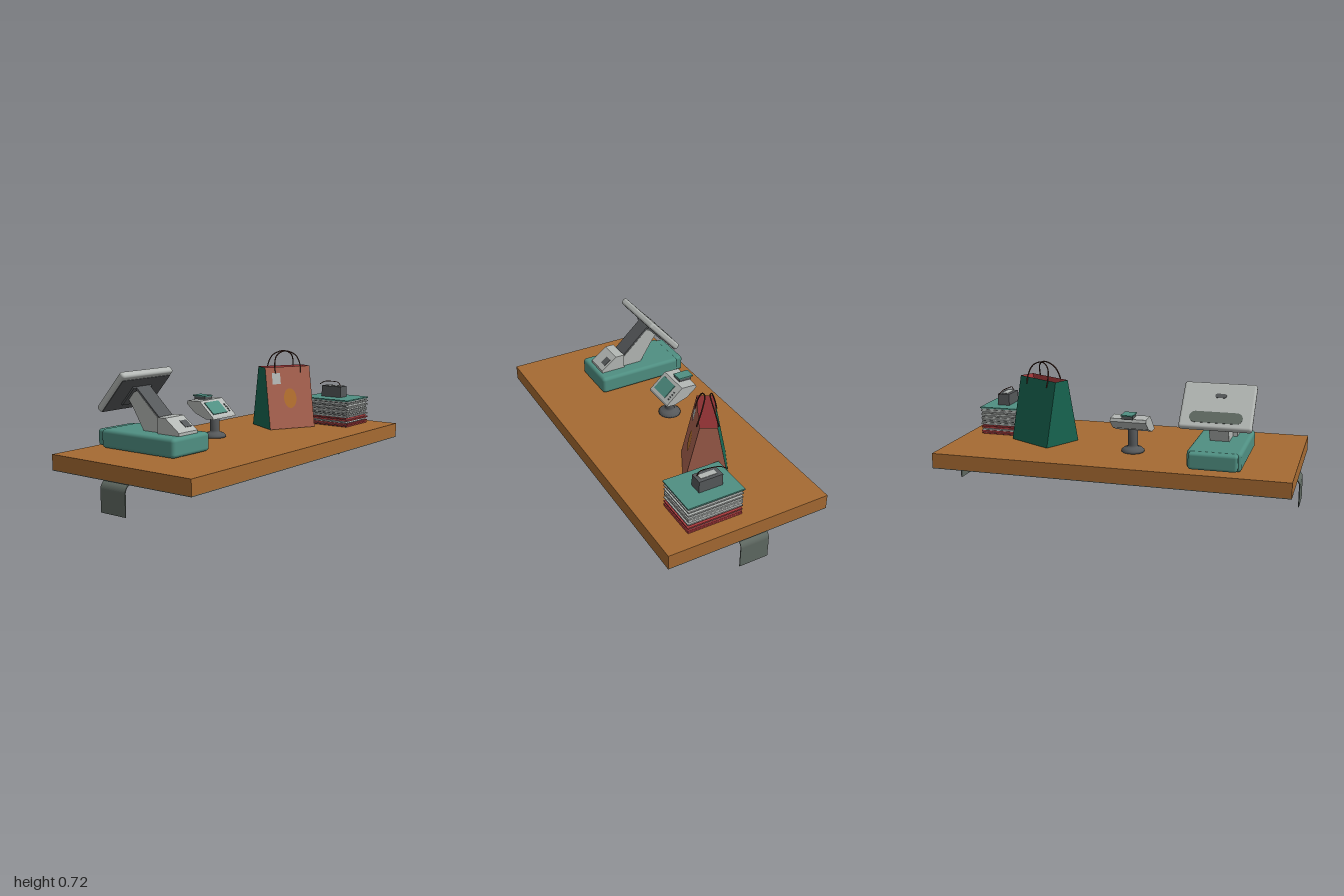
import * as THREE from 'three';
import { RoundedBoxGeometry } from 'three/addons/geometries/RoundedBoxGeometry.js';

const mat = (name, color, side = THREE.FrontSide) => {
  const m = new THREE.MeshStandardMaterial({ color, side });
  m.name = name;
  return m;
};

export function createModel() {
  const wood = mat('wood', 0xa56a32);
  const teal = mat('teal', 0x4f8f82);
  const light = mat('lightGrey', 0xb4b8b5);
  const dark = mat('darkGrey', 0x55585a);
  const steel = mat('steel', 0x5f6962);
  const pink = mat('bagClay', 0xa8624f);
  const green = mat('bagGreen', 0x176450);
  const red = mat('red', 0xb03e40);
  const orange = mat('orange', 0xb5702f);
  const brown = mat('handleBrown', 0x4a2a22);

  const root = new THREE.Group();
  const group = (name, parent = root) => {
    const g = new THREE.Group();
    g.name = name;
    parent.add(g);
    return g;
  };
  const add = (parent, name, geo, m, x = 0, y = 0, z = 0) => {
    const mesh = new THREE.Mesh(geo, m);
    mesh.name = name;
    mesh.position.set(x, y, z);
    parent.add(mesh);
    return mesh;
  };
  // Box given by its limits on each axis; r rounds the edges
  const block = (parent, name, m, [x0, x1], [y0, y1], [z0, z1], r = 0) => {
    const s = [x1 - x0, y1 - y0, z1 - z0];
    const geo = r ? new RoundedBoxGeometry(...s, 3, r) : new THREE.BoxGeometry(...s);
    return add(parent, name, geo, m, (x0 + x1) / 2, (y0 + y1) / 2, (z0 + z1) / 2);
  };
  // Side profile of [z, y] points swept from x0 to x1
  const sweep = (parent, name, m, pts, x0, x1) => {
    const shape = new THREE.Shape(pts.map(p => new THREE.Vector2(...p)));
    const geo = new THREE.ExtrudeGeometry(shape, { depth: x1 - x0, bevelEnabled: false });
    geo.rotateY(-Math.PI / 2).translate(x1, 0, 0);
    return add(parent, name, geo, m);
  };
  const tube = (parent, name, m, pts, r) => {
    const curve = new THREE.CatmullRomCurve3(pts.map(p => new THREE.Vector3(...p)));
    return add(parent, name, new THREE.TubeGeometry(curve, 32, r, 6), m);
  };

  // Counter top and its underside
  block(root, 'counterTop', wood, [-0.99, 0.99], [0.168, 0.25], [-0.475, 0.475]);
  block(root, 'counterUnderside', steel, [-0.99, 0.99], [0.164, 0.168], [-0.475, 0.475]);

  // Bent metal brackets at both ends
  for (const s of [-1, 1]) {
    const b = new THREE.Shape();
    b.moveTo(0.93, 0.164);
    b.lineTo(0.955, 0.164);
    b.absarc(0.955, 0.119, 0.045, Math.PI / 2, 0, true);
    b.lineTo(1, 0);
    b.lineTo(0.995, 0);
    b.lineTo(0.995, 0.119);
    b.absarc(0.955, 0.119, 0.04, 0, Math.PI / 2, false);
    b.lineTo(0.93, 0.159);
    const geo = new THREE.ExtrudeGeometry(b, { depth: 0.17, bevelEnabled: false });
    if (s < 0) geo.rotateY(Math.PI).translate(0, 0, 0.17);
    add(root, 'endBracket', geo, steel, 0, 0, -0.11);
  }

  // Till: drawer, arm and screen
  const till = group('till');
  block(till, 'drawerBody', teal, [-0.72, -0.43], [0.253, 0.356], [-0.39, 0.128], 0.02);
  block(till, 'drawerFront', teal, [-0.705, -0.445], [0.262, 0.352], [-0.43, -0.37], 0.015);
  sweep(till, 'armFoot', light,
    [[0.1, 0.354], [0.1, 0.372], [0.005, 0.442], [-0.05, 0.442], [-0.05, 0.354]], -0.645, -0.5);
  sweep(till, 'arm', light,
    [[-0.01, 0.354], [-0.01, 0.38], [-0.215, 0.565], [-0.29, 0.53], [-0.25, 0.48], [-0.17, 0.354]], -0.62, -0.515);
  sweep(till, 'armCover', dark,
    [[-0.05, 0.421], [-0.046, 0.427], [-0.216, 0.582], [-0.222, 0.57]], -0.62, -0.515);
  const slot = add(till, 'receiptSlot', new THREE.BoxGeometry(0.05, 0.003, 0.05), dark, -0.54, 0.407, 0.055);
  slot.rotation.x = 0.635;

  const screen = group('screen', till);
  screen.position.set(-0.572, 0.567, -0.27);
  screen.rotation.x = 0.73;
  add(screen, 'screenShell', new RoundedBoxGeometry(0.385, 0.275, 0.04, 3, 0.014), light);
  add(screen, 'screenPanel', new THREE.BoxGeometry(0.365, 0.235, 0.006), dark, 0, -0.012, 0.019);
  add(screen, 'mountPlate', new THREE.BoxGeometry(0.14, 0.13, 0.012), dark, 0, -0.02, 0.026);
  const pill = (w, h) => {
    const r = h / 2, a = w / 2 - r, s = new THREE.Shape();
    s.absarc(a, 0, r, -Math.PI / 2, Math.PI / 2, false);
    s.absarc(-a, 0, r, Math.PI / 2, Math.PI * 1.5, false);
    return new THREE.ExtrudeGeometry(s, { depth: 0.003, bevelEnabled: false });
  };
  add(screen, 'backVent', pill(0.28, 0.065), steel, 0, -0.075, -0.022);
  add(screen, 'backPort', pill(0.06, 0.025), dark, -0.01, 0.055, -0.022);

  // Card terminal on a round stand
  const term = group('cardTerminal');
  const stand = [[0, 0], [0.064, 0], [0.064, 0.012], [0.05, 0.024], [0.03, 0.028], [0.027, 0.04], [0.027, 0.15], [0, 0.15]];
  const standMesh = add(term, 'terminalStand',
    new THREE.LatheGeometry(stand.map(p => new THREE.Vector2(...p)), 28), dark, -0.073, 0.25, -0.13);
  standMesh.geometry.computeVertexNormals();
  sweep(term, 'terminalHead', light,
    [[-0.055, 0.368], [-0.06, 0.38], [-0.155, 0.465], [-0.245, 0.462], [-0.25, 0.445], [-0.19, 0.395], [-0.11, 0.366]],
    -0.177, 0.026);
  const display = group('terminalDisplay', term);
  display.position.set(-0.075, 0.4235, -0.1065);
  display.rotation.x = -0.84;
  add(display, 'displayPanel', new THREE.BoxGeometry(0.125, 0.09, 0.006), teal, -0.017, 0, 0);
  for (let i = 0; i < 4; i++)
    add(display, 'terminalKey', new THREE.BoxGeometry(0.01, 0.008, 0.006), dark, 0.075, -0.035 + i * 0.016, 0);
  block(term, 'cardReader', dark, [-0.103, -0.042], [0.46, 0.479], [-0.255, -0.175]);
  block(term, 'card', teal, [-0.106, -0.039], [0.479, 0.486], [-0.265, -0.173]);

  // Tapered paper bag: coloured outside, red inside
  const bag = group('shoppingBag');
  bag.position.set(0.485, 0.253, -0.035);
  bag.rotation.y = -0.49;
  const H = 0.368, B = 0.122, T = 0.046, W = 0.151;
  const ring = [[-1, 1], [1, 1], [1, -1], [-1, -1]];
  const low = ring.map(([x, z]) => [x * W, 0, z * B]);
  const high = ring.map(([x, z]) => [x * W, H, z * T]);
  const quad = (name, m, a, b, c, d) => {
    const geo = new THREE.BufferGeometry();
    geo.setAttribute('position', new THREE.Float32BufferAttribute([a, b, c, d].flat(), 3));
    geo.setIndex([0, 1, 2, 0, 2, 3]);
    geo.computeVertexNormals();
    add(bag, name, geo, m);
  };
  [pink, pink, green, green].forEach((m, i) => {
    const j = (i + 1) % 4;
    quad('bagSide', m, low[i], low[j], high[j], high[i]);
    quad('bagLining', red, low[j], low[i], high[i], high[j]);
  });
  quad('bagFloor', red, ...low);
  quad('bagBottom', green, ...[...low].reverse());

  // Labels on the sloping bag front
  const onFront = (name, geo, m, x, y) => {
    const mesh = add(bag, name, geo, m, x, y, B - (B - T) * y / H + 0.002);
    mesh.rotation.x = -Math.atan((B - T) / H);
    return mesh;
  };
  onFront('bagTag', new THREE.PlaneGeometry(0.055, 0.068), light, -0.083, 0.3);
  onFront('bagSeal', new THREE.CircleGeometry(1, 32), orange, 0, 0.18).scale.set(0.042, 0.06, 1);

  // Cord handles leaning together at the top
  for (const s of [-1, 1]) {
    const z = s * 0.055;
    tube(bag, 'bagHandle', brown, [[-0.085, 0.33, z + s * 0.003], [-0.087, 0.375, z * 0.85], [-0.065, 0.435, z * 0.5],
      [0, 0.461, z * 0.25], [0.065, 0.435, z * 0.5], [0.087, 0.375, z * 0.85], [0.085, 0.33, z + s * 0.003]], 0.0038);
  }

  // Stack of folded goods with a teal top sheet
  const stack = group('stack');
  block(stack, 'stackCore', dark, [0.665, 0.89], [0.25, 0.405], [0.005, 0.305]);
  for (let i = 0; i < 14; i++) {
    const y = 0.253 + i * 0.0112, o = Math.sin(i * 2.7) * 0.005;
    block(stack, 'sheet', i < 5 && i !== 2 ? red : light,
      [0.656 + o, 0.9 + o], [y, y + 0.0078], [-0.004 + o, 0.314 + o]);
  }
  block(stack, 'topSheet', teal, [0.65, 0.905], [0.408, 0.416], [-0.01, 0.32]);

  // Small box with a thin cord
  const box = group('smallBox');
  block(box, 'boxBody', dark, [0.752, 0.824], [0.416, 0.483], [0.072, 0.21]);
  block(box, 'boxInset', light, [0.772, 0.804], [0.481, 0.485], [0.095, 0.19]);
  tube(box, 'boxCord', brown,
    [[0.775, 0.484, 0.195], [0.775, 0.506, 0.18], [0.78, 0.511, 0.13], [0.79, 0.506, 0.07], [0.8, 0.487, 0.03]], 0.0025);

  return root;
}
